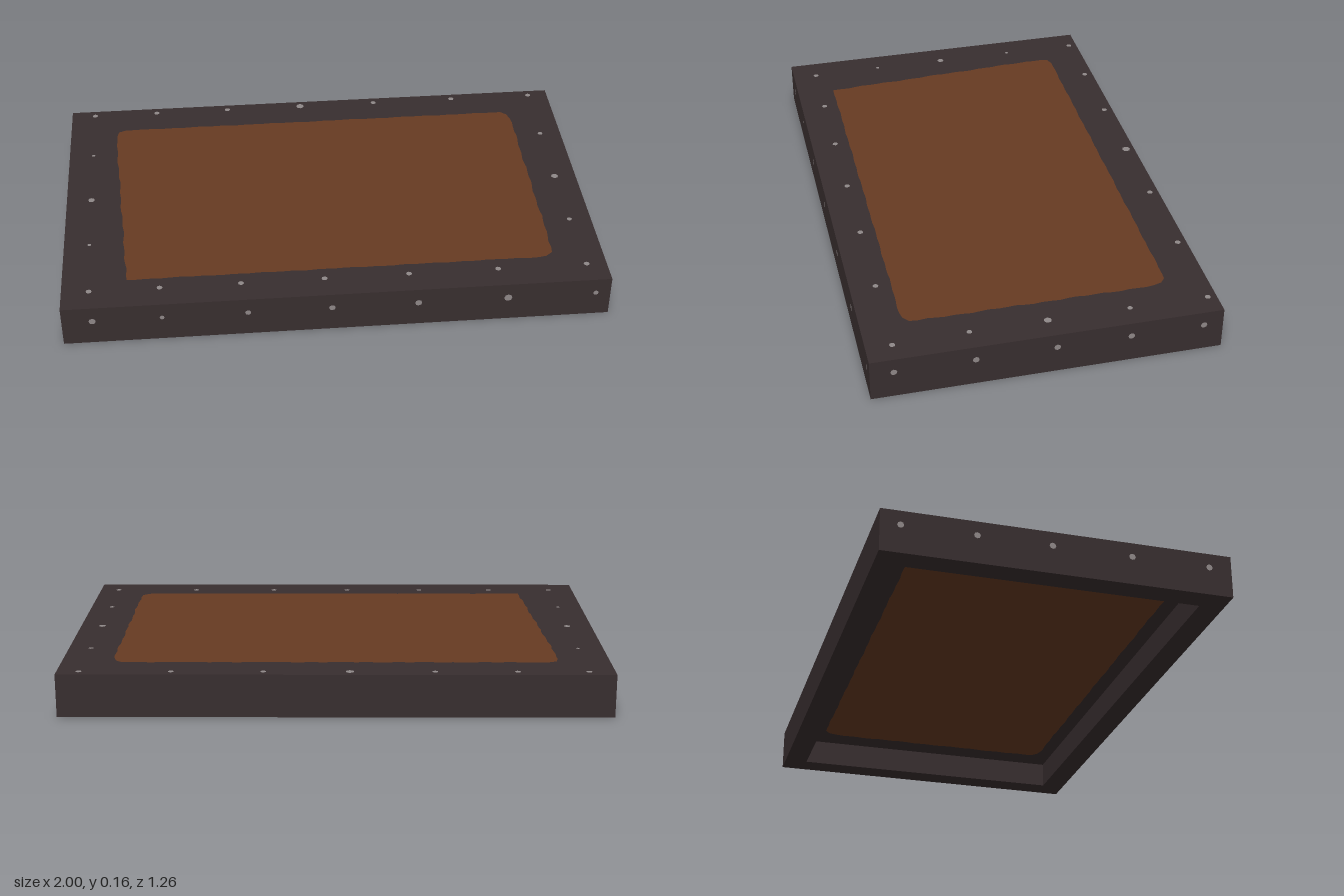
import * as THREE from 'three';

const W = 1, D = 0.628, H = 0.16; // half width, half depth, height
const PLATE_Y = 0.1;              // underside of the top plate
const RIM = 0.09;

// Rectangle outline in the ground plane
function rect(hw, hd) {
  return [[-hw, -hd], [hw, -hd], [hw, hd], [-hw, hd]].map(([x, z]) => new THREE.Vector2(x, z));
}

// Rounded rectangle with a slightly ragged edge (shape y becomes -z)
function raggedOutline(hw, hd, r) {
  const s = new THREE.Shape();
  s.moveTo(-hw + r, -hd);
  s.lineTo(hw - r, -hd);
  s.quadraticCurveTo(hw, -hd, hw, -hd + r);
  s.lineTo(hw, hd - r);
  s.quadraticCurveTo(hw, hd, hw - r, hd);
  s.lineTo(-hw + r, hd);
  s.quadraticCurveTo(-hw, hd, -hw, hd - r);
  s.closePath();
  return s.getSpacedPoints(160).slice(0, -1).map((p, i) => {
    const k = 1 + 0.003 * Math.sin(i * 1.9) + 0.002 * Math.sin(i * 0.7);
    return new THREE.Vector2(p.x * k, p.y * k);
  });
}

// Extrude an outline upward from y0 to y1
function slab(points, holePoints, y0, y1) {
  const shape = new THREE.Shape(points);
  if (holePoints) shape.holes.push(new THREE.Path(holePoints));
  const g = new THREE.ExtrudeGeometry(shape, { depth: y1 - y0, bevelEnabled: false });
  g.rotateX(-Math.PI / 2);
  g.translate(0, y0, 0);
  return g;
}

export function createModel() {
  const model = new THREE.Group();
  const frameMat = new THREE.MeshStandardMaterial({ name: 'dark frame', color: 0x382e2f });
  const panelMat = new THREE.MeshStandardMaterial({ name: 'brown panel', color: 0x673b22 });
  const studMat = new THREE.MeshStandardMaterial({ name: 'grey studs', color: 0x8f8888 });

  const add = (name, geometry, material, parent = model) => {
    const mesh = new THREE.Mesh(geometry, material);
    mesh.name = name;
    parent.add(mesh);
    return mesh;
  };

  // Hollow walls, top border and inset panel
  const panel = raggedOutline(0.815, 0.48, 0.05);
  add('walls', slab(rect(W, D), rect(W - RIM, D - RIM), 0, PLATE_Y), frameMat);
  add('topBorder', slab(rect(W, D), panel, PLATE_Y, H), frameMat);
  add('panel', slab(panel, null, PLATE_Y, H), panelMat);

  // Small flat studs
  const studs = new THREE.Group();
  studs.name = 'studs';
  model.add(studs);
  const stud = (x, y, z, rx, ry, r = 0.011) => {
    const m = add('stud', new THREE.CircleGeometry(r, 8), studMat, studs);
    m.position.set(x, y, z);
    m.rotation.set(rx, ry, 0);
  };
  const lift = 0.0015;
  const top = (x, z, r) => stud(x, H + lift, z, -Math.PI / 2, 0, r);
  [-0.905, -0.65, -0.355, -0.05, 0.26, 0.59, 0.92].forEach((x, i) => {
    top(x, -0.595, i === 3 ? 0.016 : 0.011);
    top(x + 0.005, 0.535, 0.011);
  });
  [-0.31, -0.013, 0.265].forEach((z, i) => {
    top(-0.905, z, i === 1 ? 0.013 : 0.007);
    top(0.917, z, i === 1 ? 0.014 : 0.01);
  });
  [-0.89, -0.64, -0.33, -0.025, 0.29, 0.62, 0.945].forEach((x, i) =>
    stud(x, 0.1, D + lift, 0, 0, [0.013, 0.009, 0.011, 0.012, 0.013, 0.015, 0.01][i]));
  [0.545, 0.26, -0.027, -0.293, -0.557].forEach((z) => {
    for (const s of [-1, 1]) stud(s * (W + lift), 0.106, z, 0, s * Math.PI / 2, 0.012);
  });

  return model;
}
